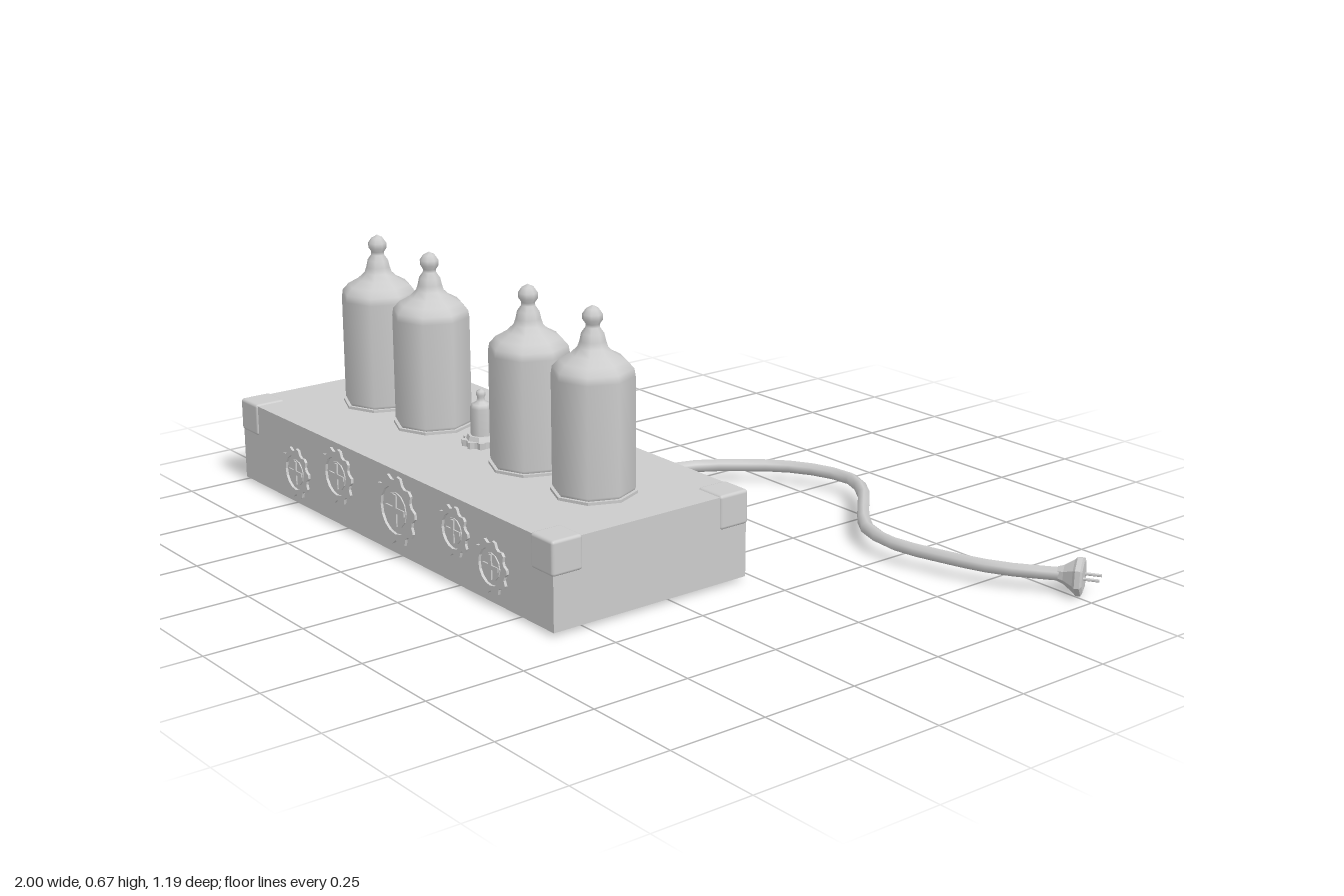
import * as THREE from 'three';
import { RoundedBoxGeometry } from 'three/addons/geometries/RoundedBoxGeometry.js';

export function createModel() {
  const model = new THREE.Group();
  const smooth = new THREE.MeshStandardMaterial({ color: 0xcccccc, side: THREE.DoubleSide });
  const flat = new THREE.MeshStandardMaterial({ color: 0xcccccc, flatShading: true });

  const add = (name, geometry, material, x = 0, y = 0, z = 0, parent = model) => {
    const mesh = new THREE.Mesh(geometry, material);
    mesh.name = name;
    mesh.position.set(x, y, z);
    parent.add(mesh);
    return mesh;
  };
  const lathe = (points, sides) =>
    new THREE.LatheGeometry(points.map(([r, y]) => new THREE.Vector2(r, y)), sides);

  // Notched disc or ring outline
  const notched = (radius, teeth, depth, hole, thickness) => {
    const shape = new THREE.Shape();
    for (let i = 0; i < teeth * 4; i++) {
      const a = (i / (teeth * 4)) * Math.PI * 2;
      const r = i % 4 < 2 ? radius : radius * (1 - depth);
      shape[i ? 'lineTo' : 'moveTo'](Math.cos(a) * r, Math.sin(a) * r);
    }
    shape.closePath();
    if (hole) shape.holes.push(new THREE.Path().absarc(0, 0, hole, 0, Math.PI * 2, true));
    return new THREE.ExtrudeGeometry(shape, { depth: thickness, bevelEnabled: false, curveSegments: 8 });
  };

  // Chassis
  const x0 = -0.996, x1 = 0.389, z0 = 0.027, z1 = 0.588, top = 0.226, bottom = 0.012;
  add('chassis', new THREE.BoxGeometry(x1 - x0, top - bottom, z1 - z0), flat,
    (x0 + x1) / 2, (top + bottom) / 2, (z0 + z1) / 2);

  // Raised guards on the four top corners
  const size = 0.085, lip = 0.004;
  for (const [x, sx] of [[x0, 1], [x1, -1]]) {
    for (const [z, sz] of [[z0, 1], [z1, -1]]) {
      add('cornerGuard', new RoundedBoxGeometry(size, size, size, 2, 0.008), smooth,
        x + sx * (size / 2 - lip), top + lip - size / 2, z + sz * (size / 2 - lip));
    }
  }

  // Large tubes, each in a thin socket ring
  const tubeProfile = [
    [0, 0.227], [0.092, 0.227], [0.099, 0.24], [0.099, 0.51], [0.096, 0.528], [0.08, 0.546],
    [0.053, 0.561], [0.036, 0.577], [0.031, 0.592], [0.027, 0.61], [0.017, 0.624],
    [0.017, 0.632], [0.024, 0.642], [0.024, 0.655], [0.015, 0.668], [0, 0.676],
  ];
  for (const x of [-0.75, -0.507, -0.083, 0.17]) {
    add('tubeSocket', new THREE.CylinderGeometry(0.104, 0.104, 0.008, 8), flat, x, 0.229, 0.308);
    add('largeTube', lathe(tubeProfile, 8), smooth, x, 0, 0.308);
  }

  // Small middle tube on a notched base
  const base = add('smallTubeBase', notched(0.05, 9, 0.16, 0, 0.016), flat, -0.288, 0.226, 0.31);
  base.rotation.x = -Math.PI / 2;
  add('smallTubeCollar', new THREE.CylinderGeometry(0.035, 0.04, 0.012, 8), flat, -0.288, 0.247, 0.31);
  add('smallTube', lathe([
    [0.028, 0.245], [0.028, 0.322], [0.023, 0.332], [0.011, 0.338], [0.009, 0.348],
    [0.012, 0.354], [0.011, 0.364], [0, 0.37],
  ], 8), smooth, -0.288, 0, 0.31);

  // Front dials: notched rim, hub and cross grip
  const dials = [
    [-0.725, 0.095, 0.068], [-0.52, 0.14, 0.074], [-0.25, 0.125, 0.09],
    [0.0, 0.143, 0.064], [0.152, 0.1, 0.067],
  ];
  for (const [x, y, r] of dials) {
    const dial = new THREE.Group();
    dial.name = 'dial';
    dial.position.set(x, y, z1 - 0.002);
    add('dialRim', notched(r, 10, 0.14, r * 0.68, 0.009), flat, 0, 0, 0, dial);
    const hub = add('dialHub', new THREE.CylinderGeometry(r * 0.5, r * 0.5, 0.005, 12), flat, 0, 0, 0.0025, dial);
    hub.rotation.x = Math.PI / 2;
    add('dialGrip', new THREE.BoxGeometry(r * 0.16, r * 0.9, 0.009), flat, 0, 0, 0.0045, dial);
    add('dialGripBar', new THREE.BoxGeometry(r * 0.9, r * 0.16, 0.0085), flat, 0, 0, 0.00425, dial);
    model.add(dial);
  }

  // Power cord, lying in a level S-curve
  const cordY = 0.049;
  const path = [
    [-0.233, 0.04], [-0.254, -0.107], [-0.254, -0.24], [-0.227, -0.34], [-0.17, -0.42],
    [-0.09, -0.51], [0, -0.564], [0.105, -0.583], [0.2, -0.535], [0.3, -0.44],
    [0.4, -0.358], [0.516, -0.332], [0.645, -0.358], [0.79, -0.41], [0.92, -0.503],
  ].map(([x, z]) => new THREE.Vector3(x, cordY, z));
  add('powerCord', new THREE.TubeGeometry(new THREE.CatmullRomCurve3(path), 28, 0.017, 6), smooth);
  const grommet = add('cordGrommet', new THREE.CylinderGeometry(0.025, 0.028, 0.014, 8), flat, -0.235, cordY, 0.022);
  grommet.rotation.x = -Math.PI / 2;

  // Plug flaring to a flat face with two pins
  const plug = new THREE.Group();
  plug.name = 'plug';
  plug.position.set(0.9, cordY, -0.492);
  plug.quaternion.setFromUnitVectors(new THREE.Vector3(0, 1, 0), new THREE.Vector3(0.85, 0, -0.53).normalize());
  const body = add('plugBody', lathe([
    [0, 0], [0.018, 0], [0.024, 0.016], [0.041, 0.04], [0.048, 0.046], [0.048, 0.058], [0.038, 0.062], [0, 0.062],
  ], 7).toNonIndexed(), flat, 0, 0, 0, plug);
  body.geometry.computeVertexNormals();
  const side = new THREE.Vector3(0.53, 0, 0.85).normalize()
    .applyQuaternion(plug.quaternion.clone().invert()).multiplyScalar(0.018);
  for (const s of [-1, 1]) {
    add('plugPin', new THREE.CylinderGeometry(0.004, 0.004, 0.042, 6), flat,
      side.x * s, 0.079, side.z * s, plug);
  }
  model.add(plug);
  return model;
}
